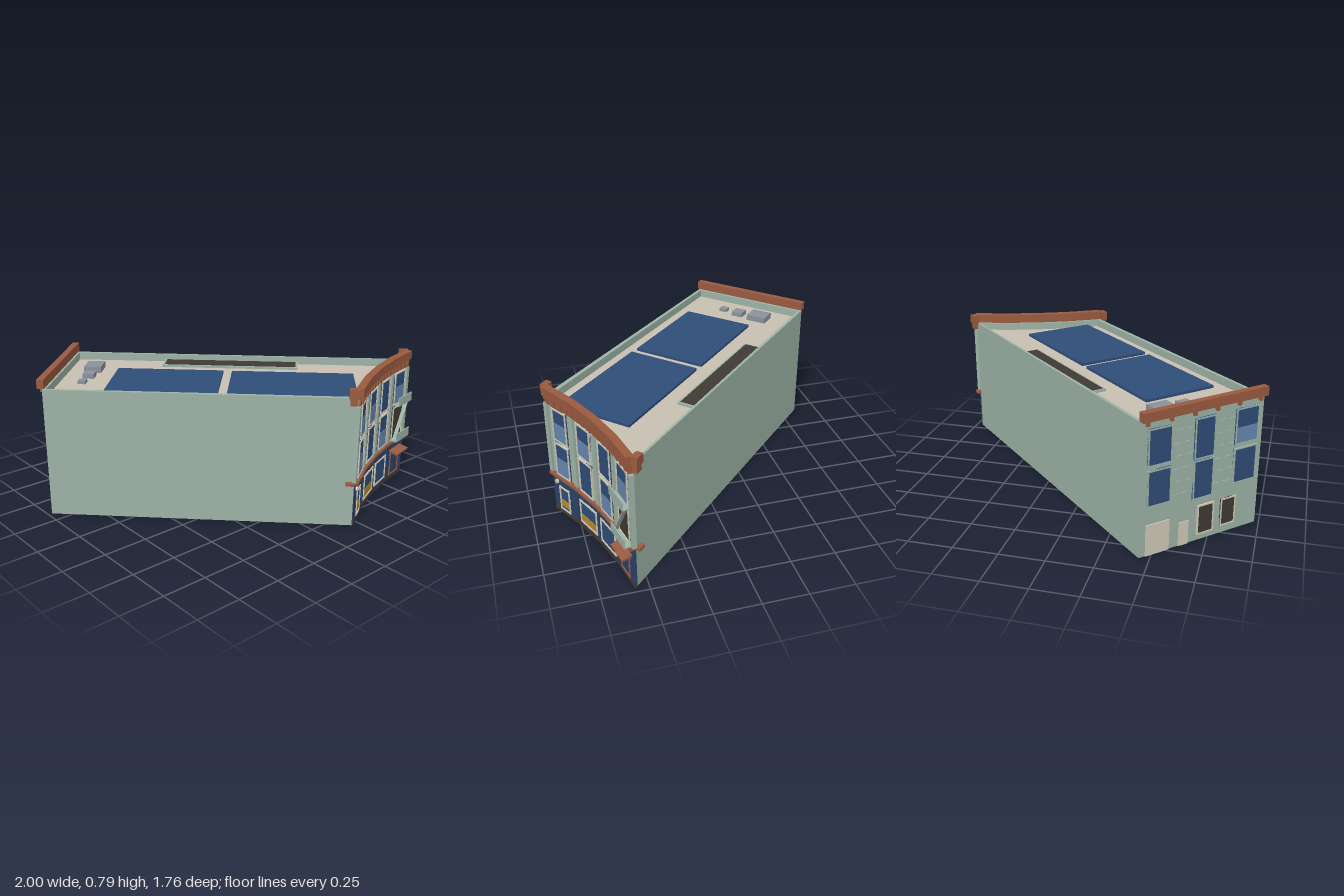
import * as THREE from 'three';

const C = {
  wall: 0x9db3a6, roof: 0xc8c0b2, brick: 0x9a5a40, navy: 0x2a4268, glass: 0x2f4d78, blind: 0x6687b0,
  plinth: 0x40393a, gold: 0xb58a2c, cream: 0xcfcab8, dark: 0x403a34, metal: 0x8b929a,
};
const mats = {};
const mat = (k) => (mats[k] ??= new THREE.MeshStandardMaterial({ color: C[k], flatShading: true }));

// Plan corners as [x, z]
const FRONT = [[0.2, 0.855], [0.395, 0.748], [0.585, 0.668], [0.778, 0.608], [0.97, 0.568]];
const BACK = [[-0.445, -0.857], [-0.977, -0.335]];
const ROOF_Y = 0.69;

function add(parent, name, geo, color, x = 0, y = 0, z = 0) {
  const m = new THREE.Mesh(geo, mat(color));
  m.name = name;
  m.position.set(x, y, z);
  parent.add(m);
  return m;
}
// Box given by its extents in x and y, and by its back and front in z
function slab(parent, name, color, x0, x1, y0, y1, z0, z1) {
  return add(parent, name, new THREE.BoxGeometry(x1 - x0, y1 - y0, z1 - z0), color,
    (x0 + x1) / 2, (y0 + y1) / 2, (z0 + z1) / 2);
}
// Group on a wall segment: x runs along it, z points outward
function bayGroup(parent, name, a, b) {
  const g = new THREE.Group();
  g.name = name;
  g.position.set((a[0] + b[0]) / 2, 0, (a[1] + b[1]) / 2);
  g.rotation.y = Math.atan2(a[1] - b[1], b[0] - a[0]);
  parent.add(g);
  return [g, Math.hypot(b[0] - a[0], b[1] - a[1])];
}
// Four-sided frame around a pane
function framed(g, name, x0, x1, y0, y1, frame, pane, t = 0.009, out = 0.012) {
  slab(g, name + 'Pane', pane, x0, x1, y0, y1, -0.005, 0.007);
  slab(g, name + 'Sill', frame, x0, x1, y0, y0 + t, 0, out);
  slab(g, name + 'Head', frame, x0, x1, y1 - t, y1, 0, out);
  slab(g, name + 'LeftJamb', frame, x1 - t, x1, y0, y1, 0, out);
  slab(g, name + 'RightJamb', frame, x0, x0 + t, y0, y1, 0, out);
}
function blind(g, x0, x1, y0, y1) {
  slab(g, 'blind', 'blind', x0 + 0.009, x1 - 0.009, y0, y1, 0, 0.009);
}
function prism(points, holePoints, height) {
  const v = (p) => new THREE.Vector2(p[0], -p[1]);
  const s = new THREE.Shape(points.map(v));
  if (holePoints) s.holes.push(new THREE.Path(holePoints.map(v)));
  return new THREE.ExtrudeGeometry(s, { depth: height, bevelEnabled: false }).rotateX(-Math.PI / 2);
}

function buildBody(root) {
  const outline = [...FRONT, ...BACK];
  // Inner parapet line, pulled in from every side
  const inner = [[0.205, 0.825], [0.39, 0.722], [0.58, 0.643], [0.773, 0.584], [0.935, 0.55],
    [-0.445, -0.83], [-0.95, -0.335]];
  add(root, 'walls', prism(outline, null, ROOF_Y - 0.002), 'wall');
  add(root, 'roofDeck', prism(inner, null, 0.004), 'roof', 0, ROOF_Y - 0.003, 0);
  add(root, 'parapet', prism(outline, inner, 0.047), 'wall', 0, ROOF_Y - 0.002, 0);
}

function buildFront(root) {
  // Per bay: pane edges as fractions, and the blind tops for lower and upper floor
  const bays = [
    { w: [0.23, 0.77], lo: 0.375, hi: 0.595 },
    { w: [0.19, 0.81], lo: 0, hi: 0.59 },
    { w: [0.2, 0.82], lo: 0.37, hi: 0 },
    { w: [0.18, 0.86], lo: 0, hi: 0.595 },
  ];
  bays.forEach((bay, i) => {
    const [g, L] = bayGroup(root, 'frontBay' + (i + 1), FRONT[i], FRONT[i + 1]);
    const h = L / 2, X = (f) => (f - 0.5) * L;
    const [x0, x1] = bay.w.map(X);
    // Upper floors
    framed(g, 'upperWindow', x0, x1, 0.485, 0.685, 'cream', 'glass');
    framed(g, 'lowerWindow', x0, x1, 0.262, 0.472, 'cream', i === 3 ? 'dark' : 'glass');
    if (bay.lo) blind(g, x0, x1, 0.271, bay.lo);
    if (bay.hi) blind(g, x0, x1, 0.494, bay.hi);
    for (const s of [-1, 1]) {
      slab(g, 'pilaster', 'wall', s * h - 0.014, s * h + 0.014, 0.26, ROOF_Y, -0.01, 0.012);
    }
    // Shopfront panelling, plinth and string course
    slab(g, 'shopPanel', 'navy', -h, h, 0.03, 0.245, -0.01, 0.004);
    slab(g, 'plinth', 'plinth', -h, h, 0, 0.03, -0.01, 0.007);
    slab(g, 'shopPier', 'navy', h - 0.008, h, 0.03, 0.245, 0, 0.01);
    slab(g, 'stringCourse', 'brick', -h - 0.004, h + 0.004, 0.244, 0.26, -0.01, 0.024);
    // Cornice with brackets
    slab(g, 'frieze', 'brick', -h, h, 0.692, 0.742, -0.012, 0.01);
    slab(g, 'cornice', 'brick', -h - 0.004, h + 0.004, 0.74, 0.79, -0.018, 0.024);
    for (let k = 0; k < 4; k++) {
      const x = X((k + 0.5) / 4);
      slab(g, 'bracket', 'brick', x - 0.01, x + 0.01, 0.702, 0.742, 0, 0.02);
    }
    // Ground-floor openings
    if (i === 0) {
      framed(g, 'door', X(0.26), X(0.66), 0.03, 0.185, 'cream', 'glass');
      slab(g, 'doorPanel', 'gold', X(0.31), X(0.61), 0.055, 0.1, 0, 0.01);
      const disc = add(g, 'wallLamp', new THREE.CylinderGeometry(0.013, 0.013, 0.014, 16), 'cream', X(0.18), 0.205, 0.008);
      disc.rotation.x = Math.PI / 2;
    } else if (i < 3) {
      framed(g, 'shopWindow', X(0.1), X(0.9), 0.042, 0.192, 'cream', 'glass');
      if (i === 1) slab(g, 'windowDisplay', 'gold', X(0.16), X(0.84), 0.055, 0.1, 0, 0.01);
    } else {
      framed(g, 'entrance', X(0.22), X(0.78), 0.03, 0.178, 'brick', 'navy');
      const a = slab(g, 'awning', 'brick', X(0.18), X(0.9), 0.18, 0.192, 0, 0.06);
      a.rotation.x = 0.25;
      buildFireEscape(g, X);
    }
  });
  // Short returns of the cornice and string course round the corners
  for (const [x, z, s] of [[0.173, 0.846, -1], [0.967, 0.536, 1]]) {
    const g = new THREE.Group();
    g.name = s < 0 ? 'rightReturn' : 'leftReturn';
    g.position.set(x, 0, z);
    g.rotation.y = -Math.PI / 4;
    slab(g, 'corniceReturn', 'brick', -0.027, 0.027, 0.738, 0.79, -0.018, 0.018);
    slab(g, 'friezeReturn', 'brick', -0.02, 0.02, 0.7, 0.74, -0.012, 0.012);
    slab(g, 'stringReturn', 'brick', -0.02, 0.025, 0.244, 0.26, -0.012, 0.012);
    root.add(g);
  }
}

function buildFireEscape(g, X) {
  const x0 = X(0.14), x1 = X(0.97);
  for (const y of [0.262, 0.488]) {
    slab(g, 'balconyFloor', 'wall', x0, x1, y, y + 0.006, 0, 0.05);
    slab(g, 'balconyRail', 'wall', x0, x1, y, y + 0.054, 0.044, 0.05);
  }
  const w = X(0.88) - X(0.2), rise = 0.215;
  const ladder = add(g, 'ladder', new THREE.BoxGeometry(Math.hypot(w, rise), 0.005, 0.022), 'wall',
    X(0.54), 0.268 + rise / 2, 0.027);
  ladder.rotation.z = Math.atan2(rise, w);
}

function buildBack(root) {
  const [g, L] = bayGroup(root, 'backFacade', BACK[0], BACK[1]);
  // Seen from behind, x runs from the first back corner to the second
  const X = (f) => (f - 0.5) * L;
  for (const [a, b, y0, y1, pane] of [
    [0.05, 0.24, 0.275, 0.475, 'glass'], [0.05, 0.24, 0.495, 0.695, 'glass'],
    [0.42, 0.59, 0.245, 0.465, 'glass'], [0.42, 0.59, 0.47, 0.695, 'glass'],
    [0.76, 0.96, 0.275, 0.475, 'glass'], [0.76, 0.96, 0.495, 0.695, 'glass'],
    [0.47, 0.61, 0.035, 0.205, 'dark'], [0.67, 0.8, 0.045, 0.205, 'dark'],
  ]) framed(g, 'backWindow', X(a), X(b), y0, y1, pane === 'dark' ? 'cream' : 'wall', pane, 0.008, 0.01);
  blind(g, X(0.76), X(0.96), 0.504, 0.59);
  slab(g, 'backDoor', 'cream', X(0.05), X(0.24), 0, 0.175, -0.005, 0.006);
  slab(g, 'hatch', 'cream', X(0.32), X(0.4), 0, 0.135, -0.005, 0.006);
  // Staggered masonry dashes between the windows
  for (let r = 0; r < 6; r++) {
    for (const f of [0.25, 0.33, 0.6, 0.68]) {
      const a = f + (r % 2) * 0.025, y = 0.3 + r * 0.07;
      slab(g, 'masonryCourse', 'wall', X(a), X(a + 0.05), y, y + 0.006, 0, 0.005);
    }
  }
  slab(g, 'backCornice', 'brick', -L / 2 - 0.005, L / 2 + 0.005, 0.74, 0.79, -0.012, 0.026);
  for (let k = 0; k < 6; k++) {
    const x = X(0.04 + k * 0.184);
    slab(g, 'backBracket', 'brick', x - 0.008, x + 0.008, 0.715, 0.742, 0, 0.018);
  }
}

function buildRoofEquipment(root) {
  // Rotated box: centre, length along the building, width, height
  const unit = (name, color, x, z, len, wid, ht, y = ROOF_Y) => {
    add(root, name, new THREE.BoxGeometry(len, ht, wid), color, x, y + ht / 2, z).rotation.y = -Math.PI / 4;
  };
  unit('solarArray', 'glass', -0.327, -0.11, 0.62, 0.432, 0.016);
  unit('solarArray', 'glass', 0.173, 0.395, 0.7, 0.434, 0.016);
  unit('skylightCurb', 'wall', 0.175, -0.13, 0.805, 0.122, 0.014);
  unit('skylightGlass', 'dark', 0.175, -0.13, 0.78, 0.098, 0.003, ROOF_Y + 0.0135);
  unit('ventUnit', 'metal', -0.492, -0.585, 0.1, 0.122, 0.036);
  unit('ventUnit', 'metal', -0.591, -0.485, 0.066, 0.07, 0.028);
  unit('ventUnit', 'metal', -0.681, -0.415, 0.044, 0.048, 0.02);
}

export function createModel() {
  const root = new THREE.Group();
  root.name = 'cornerBuilding';
  buildBody(root);
  buildFront(root);
  buildBack(root);
  buildRoofEquipment(root);
  return root;
}
